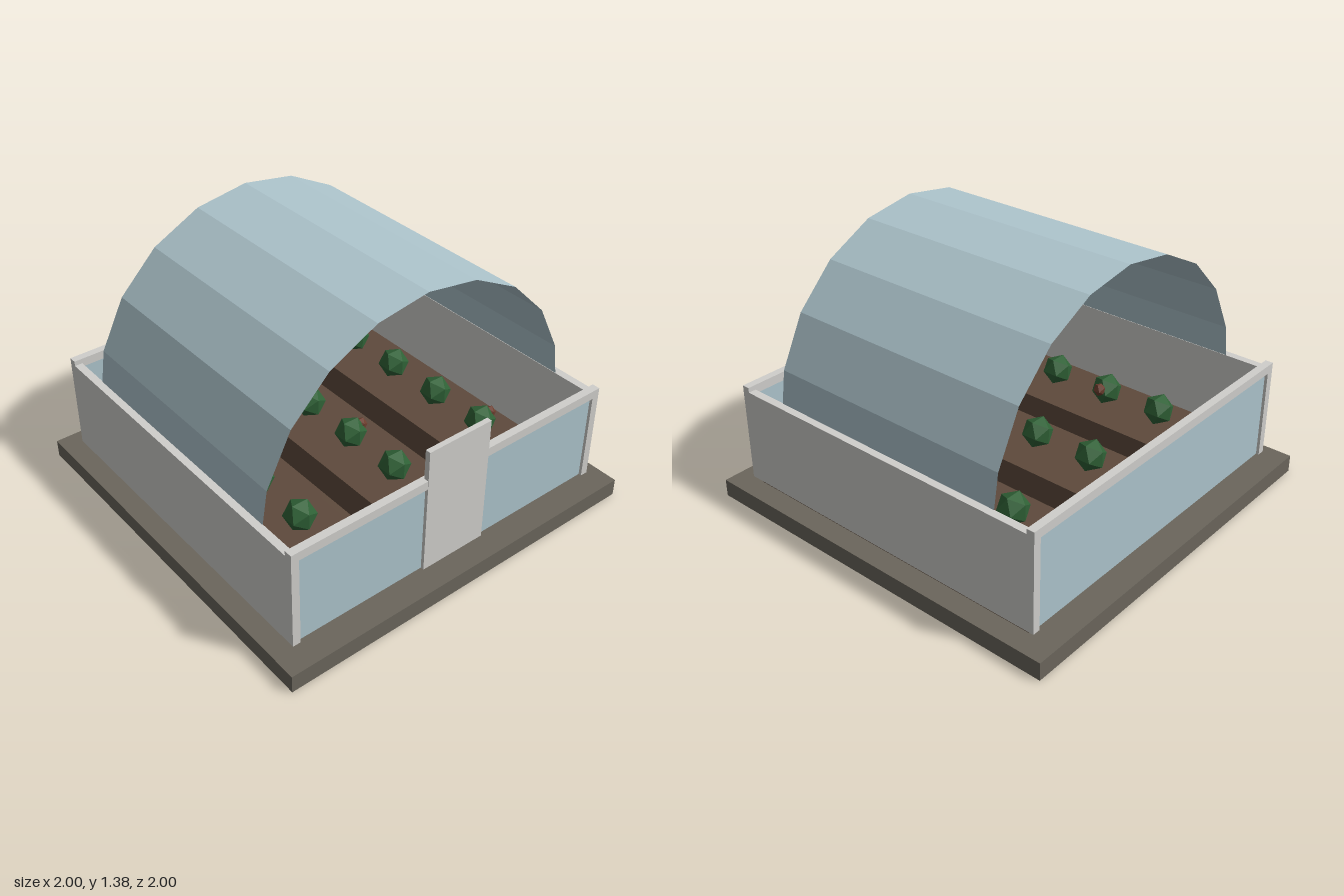
import * as THREE from 'three';

const mat = (name, color, extra = {}) => {
  const m = new THREE.MeshStandardMaterial({ color, flatShading: true, ...extra });
  m.name = name;
  return m;
};

export function createModel() {
  const stone = mat('stone', 0x6b665c);
  const soil = mat('soil', 0x5e4a3c);
  const frame = mat('pale frame', 0xd0cfcc);
  const glass = mat('glass', 0xadc4cc);
  const roofGlass = mat('roof glass', 0xadc4cc, { side: THREE.DoubleSide });
  const leaf = mat('leaf', 0x2f6136);
  const fruitRed = mat('fruit', 0x6b3d2e);

  const model = new THREE.Group();
  model.name = 'greenhouse';

  const add = (name, geometry, material, x = 0, y = 0, z = 0) => {
    const mesh = new THREE.Mesh(geometry, material);
    mesh.name = name;
    mesh.position.set(x, y, z);
    model.add(mesh);
    return mesh;
  };
  // Box given by its minimum and maximum on each axis
  const box = (name, material, x0, x1, y0, y1, z0, z1) =>
    add(name, new THREE.BoxGeometry(x1 - x0, y1 - y0, z1 - z0), material,
      (x0 + x1) / 2, (y0 + y1) / 2, (z0 + z1) / 2);

  // Ground slab and earth floor
  box('baseSlab', stone, -1, 1, 0, 0.09, -1, 1);
  box('earthFloor', soil, -0.89, 0.89, 0.09, 0.115, -0.85, 0.85);

  // Solid side walls
  box('leftWall', frame, 0.87, 0.91, 0.115, 0.6, -0.89, 0.89);
  box('rightWall', frame, -0.91, -0.87, 0.115, 0.6, -0.89, 0.89);

  // Top rails and glazing, front and back
  box('frontRail', frame, -0.91, 0.91, 0.58, 0.625, 0.85, 0.89);
  box('backRail', frame, -0.91, 0.91, 0.58, 0.625, -0.89, -0.85);
  box('frontGlassLeft', glass, 0.18, 0.87, 0.115, 0.58, 0.86, 0.875);
  box('frontGlassRight', glass, -0.87, -0.18, 0.115, 0.58, 0.86, 0.875);
  box('backGlass', glass, -0.87, 0.87, 0.115, 0.58, -0.875, -0.86);

  // Door, standing above the rail
  box('door', frame, -0.18, 0.18, 0.115, 0.78, 0.865, 0.892);

  // Open barrel roof: half of a 20-sided tube along z
  const vault = new THREE.CylinderGeometry(0.89, 0.89, 1.3, 10, 1, true, Math.PI / 2, Math.PI);
  vault.rotateX(Math.PI / 2);
  add('barrelRoof', vault, roofGlass, 0, 0.49, 0);

  // Three raised beds with four plants each, some bearing fruit
  const plantShape = new THREE.IcosahedronGeometry(0.08, 0);
  const fruitShape = new THREE.IcosahedronGeometry(0.035, 0);
  [-0.555, 0, 0.555].forEach((x, i) => {
    box('plantBed', soil, x - 0.2, x + 0.2, 0.115, 0.285, -0.69, 0.69);
    for (let j = 0; j < 4; j++) {
      const z = -0.48 + j * 0.32;
      add('plant', plantShape, leaf, x, 0.365, z);
      if ((i * 4 + j) % 5 === 1) add('fruit', fruitShape, fruitRed, x + 0.06, 0.385, z);
    }
  });

  return model;
}
